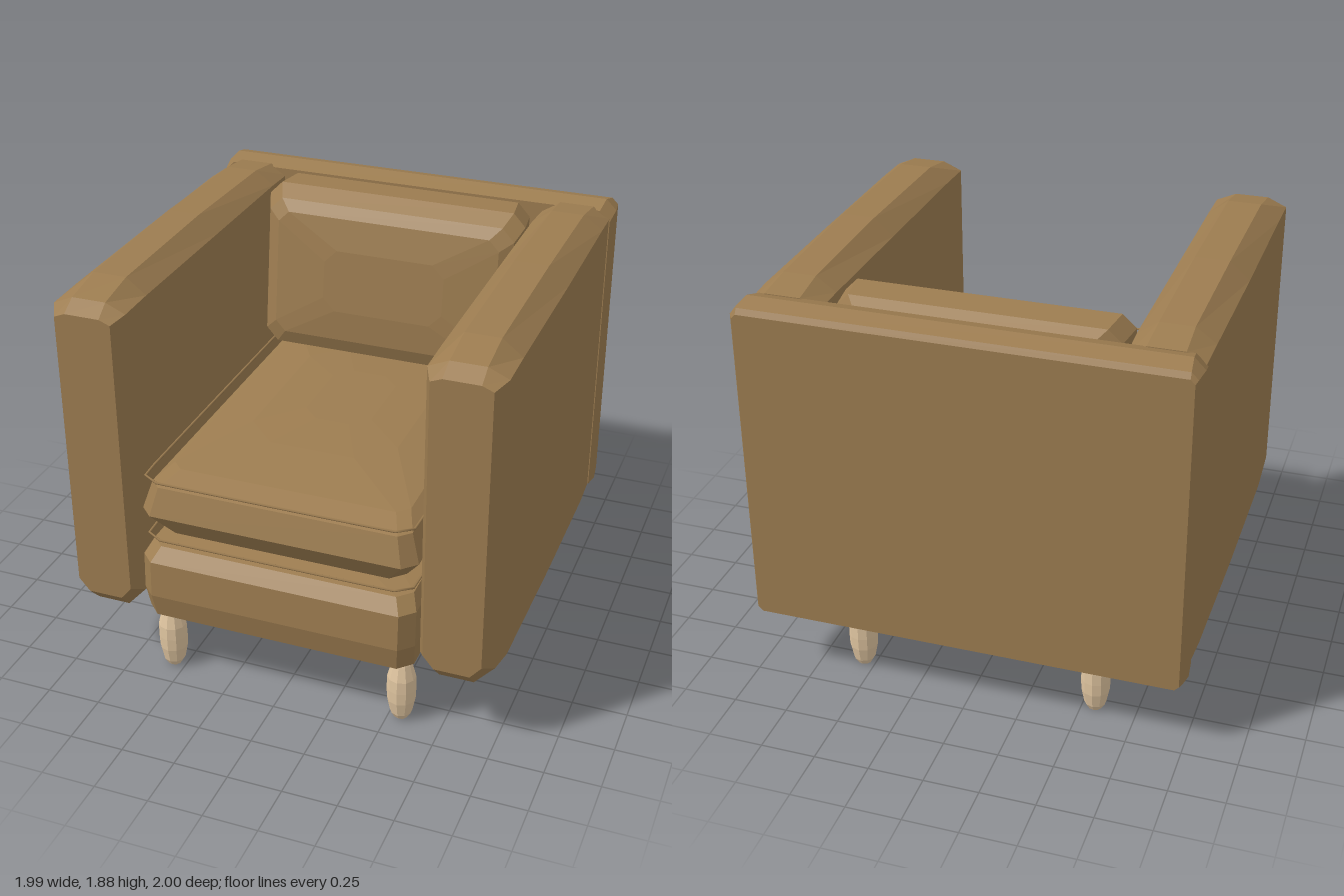
import * as THREE from 'three';

// Eight-sided outline: rectangle with cut corners (separate cuts for top and bottom)
function outline(x0, x1, y0, y1, cx, cyTop = cx, cyBot = cyTop) {
  return [
    [x1 - cx, y1], [x0 + cx, y1], [x0, y1 - cyTop], [x0, y0 + cyBot],
    [x0 + cx, y0], [x1 - cx, y0], [x1, y0 + cyBot], [x1, y1 - cyTop],
  ];
}

// Faceted solid through outlines stacked along z: sections are [z, outline]
function loft(sections, shear = 0) {
  const pos = [], idx = [], n = 8;
  for (const [z, pts] of sections) for (const [x, y] of pts) pos.push(x, y, z - shear * y);
  for (let s = 0; s < sections.length - 1; s++) {
    for (let i = 0; i < n; i++) {
      const a = s * n + i, b = s * n + (i + 1) % n;
      idx.push(a, b, b + n, a, b + n, a + n);
    }
  }
  const last = (sections.length - 1) * n;
  for (let i = 1; i < n - 1; i++) {
    idx.push(0, i + 1, i, last, last + i, last + i + 1);
  }
  const indexed = new THREE.BufferGeometry();
  indexed.setAttribute('position', new THREE.Float32BufferAttribute(pos, 3));
  indexed.setIndex(idx);
  const g = indexed.toNonIndexed();
  g.computeVertexNormals();
  return g;
}

// Same solid stacked upwards: sections are [y, halfWidth, zBack, zFront, cornerCut]
function stack(sections) {
  const g = loft(sections.map(([y, hx, zb, zf, c]) => [y, outline(-hx, hx, -zf, -zb, c)]));
  return g.rotateX(-Math.PI / 2);
}

export function createModel() {
  const chair = new THREE.Group();
  chair.name = 'armchair';
  const fabric = new THREE.MeshStandardMaterial({ color: 0x9c7c50 });
  fabric.name = 'brown fabric';
  const wood = new THREE.MeshStandardMaterial({ color: 0xe0c5a0 });
  wood.name = 'pale wood';

  const add = (name, geometry, material = fabric) => {
    const mesh = new THREE.Mesh(geometry, material);
    mesh.name = name;
    chair.add(mesh);
    return mesh;
  };

  // Arms: tall padded slabs with a crowned top and bevelled front end
  for (const [side, name] of [[1, 'leftArm'], [-1, 'rightArm']]) {
    const section = (z, x0, x1, y0, y1, cx, ct, cb) => {
      const [a, b] = side > 0 ? [x0, x1] : [-x1, -x0];
      return [z, outline(a, b, y0, y1, cx, ct, cb)];
    };
    add(name, loft([
      section(-0.83, 0.66, 0.98, 0.33, 1.84, 0.08, 0.05, 0.02),
      section(-0.65, 0.655, 0.985, 0.32, 1.865, 0.09, 0.065, 0.02),
      section(0, 0.655, 0.99, 0.315, 1.88, 0.09, 0.08, 0.03),
      section(0.72, 0.655, 0.99, 0.32, 1.87, 0.09, 0.07, 0.04),
      section(0.91, 0.655, 0.99, 0.32, 1.835, 0.09, 0.04, 0.1),
      section(0.985, 0.69, 0.95, 0.4, 1.79, 0.05, 0.02, 0.06),
    ]));
  }

  // Back panel across the full width
  add('backPanel', loft([
    [-1.0, outline(-0.975, 0.975, 0.33, 1.81, 0.02)],
    [-0.985, outline(-0.985, 0.985, 0.325, 1.835, 0.03)],
    [-0.9, outline(-0.995, 0.995, 0.32, 1.858, 0.05, 0.05, 0.02)],
    [-0.81, outline(-0.985, 0.985, 0.33, 1.83, 0.05, 0.05, 0.02)],
  ]));

  // Seat base
  add('seatBase', stack([
    [0.31, 0.58, -0.82, 0.92, 0.12],
    [0.345, 0.63, -0.83, 0.97, 0.06],
    [0.46, 0.64, -0.83, 0.995, 0.06],
    [0.63, 0.64, -0.83, 0.985, 0.06],
    [0.69, 0.61, -0.82, 0.93, 0.06],
    [0.71, 0.45, -0.7, 0.78, 0.1],
  ]));

  // Loose seat cushion, domed above and below
  add('seatCushion', stack([
    [0.705, 0.4, -0.55, 0.7, 0.15],
    [0.74, 0.56, -0.75, 0.88, 0.06],
    [0.86, 0.64, -0.8, 0.965, 0.06],
    [0.99, 0.6, -0.79, 0.925, 0.05],
    [1.025, 0.55, -0.75, 0.8, 0.05],
    [1.06, 0.35, -0.5, 0.5, 0.15],
    [1.075, 0.16, -0.25, 0.25, 0.08],
  ]));

  // Piping loops around the cushion's upper and lower edges
  for (const [y, name] of [[1.03, 'upperPiping'], [0.735, 'lowerPiping']]) {
    const pts = outline(-0.62, 0.62, -0.78, 0.95, 0.07).map(([x, z]) => new THREE.Vector3(x, y, z));
    const path = new THREE.CatmullRomCurve3(pts, true, 'catmullrom', 0.1);
    add(name, new THREE.TubeGeometry(path, 64, 0.006, 5, true));
  }

  // Back cushion, leaning slightly backwards
  const backCushion = add('backCushion', loft([
    [-0.17, outline(-0.56, 0.56, -0.34, 0.35, 0.05)],
    [-0.1, outline(-0.62, 0.62, -0.385, 0.395, 0.06)],
    [0.05, outline(-0.64, 0.64, -0.4, 0.4, 0.06)],
    [0.12, outline(-0.61, 0.61, -0.37, 0.35, 0.06)],
    [0.155, outline(-0.55, 0.55, -0.3, 0.3, 0.05)],
    [0.175, outline(-0.3, 0.3, -0.15, 0.15, 0.06)],
  ], 0.13));
  backCushion.position.set(0, 1.45, -0.59);

  // Bulbous turned legs
  const profile = [[0, 0], [0.032, 0], [0.05, 0.03], [0.064, 0.1], [0.066, 0.16],
    [0.064, 0.22], [0.046, 0.29], [0.036, 0.32], [0, 0.32]];
  const legGeometry = new THREE.LatheGeometry(profile.map(([r, y]) => new THREE.Vector2(r, y)), 10).toNonIndexed();
  legGeometry.computeVertexNormals();
  for (const x of [-0.56, 0.555]) {
    for (const [z, end] of [[0.85, 'front'], [-0.8, 'back']]) {
      add(`${end}${x > 0 ? 'Left' : 'Right'}Leg`, legGeometry, wood).position.set(x, 0, z);
    }
  }
  return chair;
}
